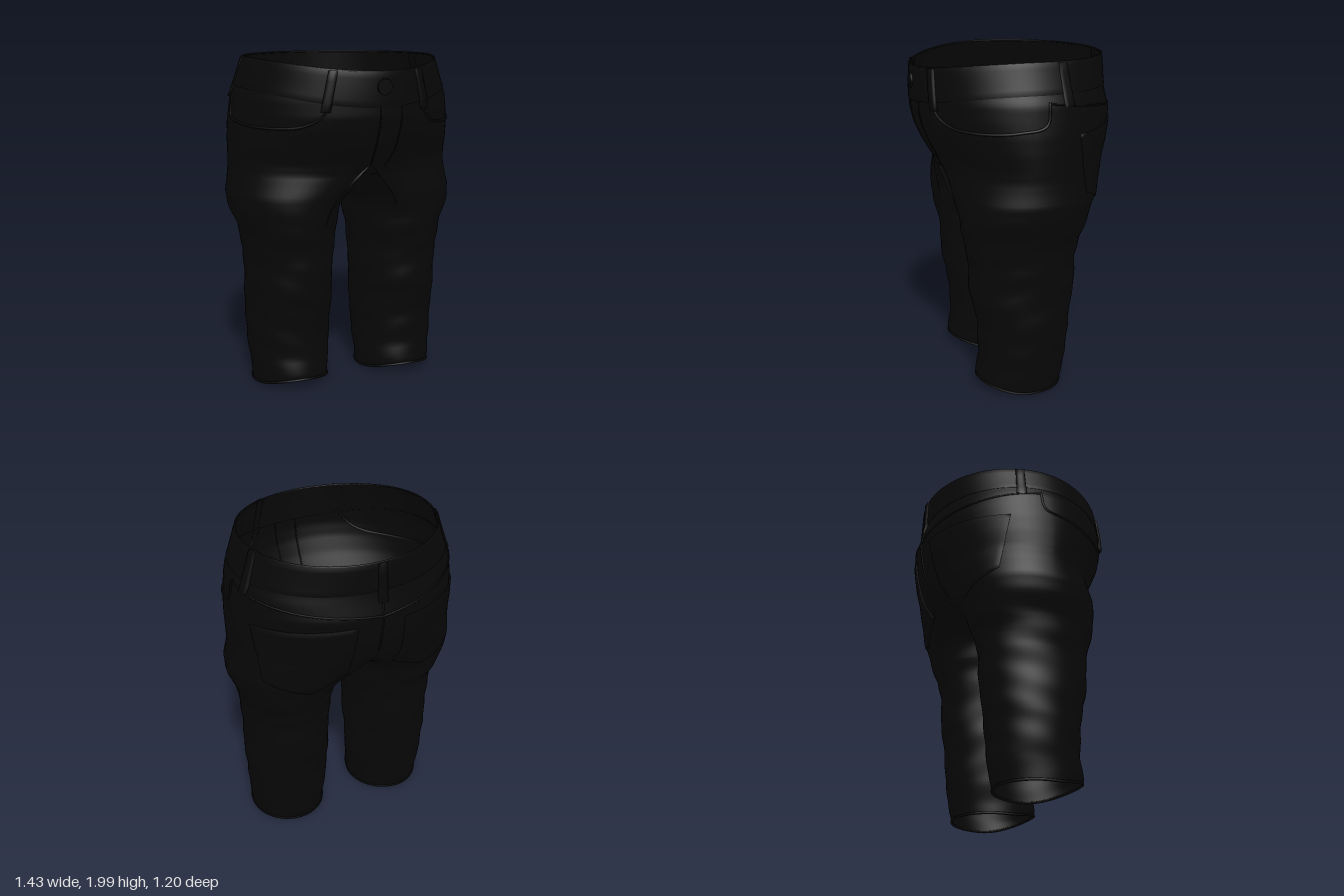
import * as THREE from 'three';
import { mergeGeometries, mergeVertices } from 'three/addons/utils/BufferGeometryUtils.js';

const { lerp } = THREE.MathUtils;
const SPLIT = 1.4, LEG_TOP = 1.0, CROTCH = 1.17;

// Rows: height, outer x, front z, back z, inner leg x
const PROFILE = [
  [2.0, 0.58, 0.57, -0.555, 0], [1.94, 0.60, 0.585, -0.557, 0], [1.83, 0.64, 0.59, -0.56, 0],
  [1.77, 0.668, 0.59, -0.572, 0], [1.68, 0.68, 0.59, -0.595, 0], [1.6, 0.69, 0.57, -0.585, 0],
  [1.5, 0.695, 0.525, -0.568, 0], [1.4, 0.695, 0.465, -0.54, 0], [1.34, 0.695, 0.433, -0.51, 0],
  [1.27, 0.702, 0.422, -0.47, 0.03], [1.2, 0.714, 0.415, -0.44, 0.038], [1.11, 0.70, 0.40, -0.395, 0.045],
  [1.0, 0.655, 0.38, -0.362, 0.057], [0.94, 0.64, 0.366, -0.33, 0.067], [0.82, 0.62, 0.345, -0.312, 0.083],
  [0.6, 0.615, 0.332, -0.298, 0.09], [0.4, 0.617, 0.285, -0.268, 0.093], [0.2, 0.598, 0.285, -0.255, 0.11],
  [0.09, 0.587, 0.302, -0.235, 0.12], [0.0, 0.582, 0.27, -0.21, 0.122],
];

function profile(y) {
  let i = 0;
  while (i < PROFILE.length - 2 && PROFILE[i + 1][0] > y) i++;
  const a = PROFILE[i], b = PROFILE[i + 1];
  const t = THREE.MathUtils.clamp((a[0] - y) / (a[0] - b[0]), 0, 1);
  return a.map((v, k) => lerp(v, b[k], t));
}

const front = a => Math.max(0, Math.cos(a)) ** 2;
const waistY = a => 2 - 0.06 * front(a);
const hemY = a => 0.02 + 0.055 * front(a);

// Hip section, round at the seat and slightly pointed at the fly
function hipPoint(a, y) {
  const [, w, f, b] = profile(y), s = Math.sin(a), c = Math.cos(a);
  const sq = v => Math.sign(v) * Math.abs(v) ** (c > 0 ? 1.07 : 0.97);
  return new THREE.Vector3(w * sq(s), y, (c > 0 ? f : -b) * sq(c));
}

// Oval leg section with soft cloth folds
function legPoint(a, y, side = 1) {
  const [, o, f, b, inner] = profile(y);
  const fade = Math.min(1, Math.max(0, (1.25 - y) * 4)) * Math.min(1, y * 5);
  const r = 1 + fade * (0.009 * Math.sin(y * 21 + 2 * a + side) + 0.007 * Math.sin(y * 37 - 3 * a + side * 2));
  return new THREE.Vector3((o + inner) / 2 + (o - inner) / 2 * r * Math.sin(a), y,
    (f + b) / 2 + (f - b) / 2 * r * Math.cos(a));
}

function grid(rows, cols, fn, flip = false) {
  const pos = [], idx = [];
  for (let i = 0; i <= rows; i++)
    for (let j = 0; j <= cols; j++) pos.push(...fn(i, j).toArray());
  for (let i = 0; i < rows; i++)
    for (let j = 0; j < cols; j++) {
      const a = i * (cols + 1) + j, b = a + 1, c = a + cols + 1, d = c + 1;
      idx.push(...(flip ? [a, b, c, b, d, c] : [a, c, b, b, c, d]));
    }
  const g = new THREE.BufferGeometry();
  g.setAttribute('position', new THREE.Float32BufferAttribute(pos, 3));
  g.setIndex(idx);
  return g;
}

function smooth(g) {
  const m = mergeVertices(g, 1e-4);
  m.computeVertexNormals();
  return m;
}

// Upper leg: half of the hip ring plus a crotch saddle, easing into an oval
const OUT = 40, IN = 24, BLEND = 20, LOWER = 44, TURN = 0.39;
function legGrid(side) {
  const [, , f, b] = profile(SPLIT);
  return grid(BLEND + LOWER, OUT + IN, (i, j) => {
    const outer = j <= OUT, k = outer ? j / OUT : (j - OUT) / IN;
    const a = outer ? -TURN + (Math.PI + 2 * TURN) * k : Math.PI + TURN + (Math.PI - 2 * TURN) * k;
    let p;
    if (i <= BLEND) {
      // The inside of the thigh rounds off sooner than the outside
      const t = i / BLEND, mid = outer ? 0 : Math.sin(Math.PI * k);
      const s = 1 - (1 - t) ** (1.7 + 4 * mid);
      const top = outer ? SPLIT : lerp(CROTCH, SPLIT, Math.abs(2 * k - 1) ** 2.7);
      const y = lerp(top, LEG_TOP, t);
      const hip = outer ? hipPoint(Math.PI * k, y) : new THREE.Vector3(0, y, lerp(b, f, k));
      p = hip.lerp(legPoint(a, y, side), s);
    } else {
      p = legPoint(a, lerp(LEG_TOP, hemY(a), (i - BLEND) / LOWER), side);
    }
    p.x *= side;
    return p;
  }, side < 0);
}

export function createModel() {
  const group = new THREE.Group();
  group.name = 'trousers';
  const denim = new THREE.MeshStandardMaterial({ color: 0x070707 });
  denim.name = 'black denim';
  denim.side = THREE.DoubleSide;
  const add = (name, geometry) => {
    const m = new THREE.Mesh(geometry, denim);
    m.name = name;
    group.add(m);
    return m;
  };

  // Main cloth shell
  const hips = grid(30, OUT * 2, (i, j) => {
    const a = Math.PI * j / OUT;
    return hipPoint(a, lerp(waistY(a), SPLIT, i / 30));
  });
  const shell = add('hipsAndLegs', smooth(mergeGeometries([hips, legGrid(1), legGrid(-1)])));

  // Finds the cloth at a heading (0 = front, + = left) and height
  const ray = new THREE.Raycaster();
  function onCloth(a, y, offset) {
    const d = new THREE.Vector3(Math.sin(a), 0, Math.cos(a));
    ray.set(d.clone().multiplyScalar(2).setY(y), d.clone().negate());
    const hit = ray.intersectObject(shell)[0];
    return (hit ? hit.point : hipPoint(a, y)).addScaledVector(d, offset);
  }

  // Raised cloth panel whose border sinks into the shell
  function panel(name, rows, cols, outline, height, closed = false) {
    add(name, smooth(grid(rows + 2, cols + 2, (i, j) => {
      const edge = i === 0 || i === rows + 2 || (!closed && (j === 0 || j === cols + 2));
      const v = THREE.MathUtils.clamp((i - 1) / rows, 0, 1);
      const u = closed ? j / (cols + 2) : THREE.MathUtils.clamp((j - 1) / cols, 0, 1);
      const [a, y] = outline(u, v);
      return onCloth(a, y, edge ? -0.002 : height);
    })));
  }

  function seam(name, points, radius = 0.005) {
    const flat = new THREE.CatmullRomCurve3(points.map(([a, y]) => new THREE.Vector3(a, y, 0)));
    const path = flat.getPoints(28).map(p => onCloth(p.x, p.y, 0.001));
    add(name, new THREE.TubeGeometry(new THREE.CatmullRomCurve3(path), 56, radius, 6));
  }

  // Waistband, its rolled top edge and the button
  panel('waistband', 5, 94, (u, v) => {
    const a = u * Math.PI * 2;
    return [a, waistY(a) - 0.004 - (0.17 + 0.03 * front(a)) * v];
  }, 0.006, true);
  const rim = [...Array(48)].map((_, i) => hipPoint(i * Math.PI / 24, waistY(i * Math.PI / 24) - 0.006));
  add('waistRim', new THREE.TubeGeometry(new THREE.CatmullRomCurve3(rim, true), 96, 0.006, 6, true));
  const button = add('button', new THREE.CylinderGeometry(0.044, 0.05, 0.014, 24).rotateX(Math.PI / 2));
  button.position.copy(onCloth(0.035, 1.85, 0.006));

  // Fly and centre seams
  seam('flyStitch', [[0.24, 1.74], [0.245, 1.6], [0.25, 1.46], [0.2, 1.38], [0.06, 1.33]], 0.004);
  seam('frontSeam', [[0, 1.74], [0, 1.6], [0, 1.39]]);
  seam('backSeam', [[Math.PI, 1.82], [Math.PI, 1.6], [Math.PI, 1.43]], 0.006);

  // Belt loops, leaning outward by the given slant
  const loop = (name, a0, slant, height) => panel(name, 4, 3,
    (u, v) => [a0 + (u - 0.5) * 0.09 + slant * v, waistY(a0) - 0.008 - 0.23 * v], height);
  loop('backBeltLoop', Math.PI, 0, 0.016);

  for (const s of [1, -1]) {
    const side = s > 0 ? 'left' : 'right';
    loop(side + 'FrontBeltLoop', s * 0.46, s * 0.07, 0.018);
    loop(side + 'SideBeltLoop', s * 1.82, 0, 0.014);

    // Curved front pocket opening and back yoke
    seam(side + 'FrontPocket', [[0.48, 1.76], [0.56, 1.69], [0.72, 1.635], [1.0, 1.615], [1.4, 1.63], [1.61, 1.67], [1.64, 1.79]]
      .map(([a, y]) => [s * a, y]), 0.008);
    seam(side + 'Yoke', [[1.64, 1.78], [2.3, 1.73], [Math.PI, 1.68]].map(([a, y]) => [s * a, y]), 0.006);

    // Pointed back pocket
    panel(side + 'BackPocket', 14, 14, (u, v) => {
      const a = lerp(lerp(1.92, 2.9, u), lerp(2.02, 2.82, u), v);
      const bottom = 1.25 - 0.1 * (1 - Math.abs(2 * u - 1));
      return [s * a, lerp(lerp(1.6, 1.63, u), bottom, v)];
    }, 0.009);

    // Rolled hem
    const hem = [...Array(40)].map((_, i) => {
      const a = i * Math.PI / 20, p = legPoint(a, hemY(a) + 0.002, s);
      p.x *= s;
      return p;
    });
    add(side + 'Hem', new THREE.TubeGeometry(new THREE.CatmullRomCurve3(hem, true), 64, 0.008, 6, true));
  }
  return group;
}
